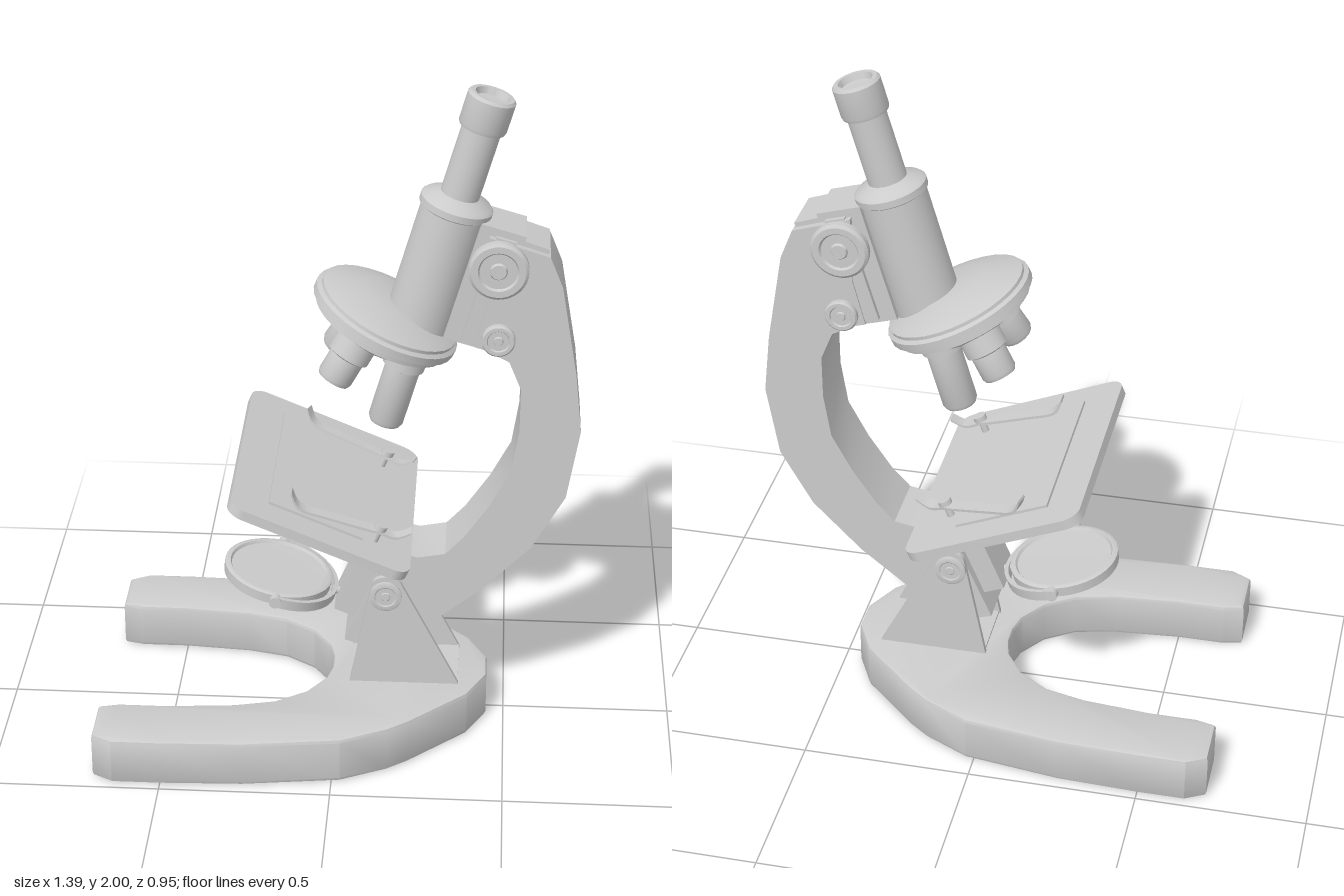
import * as THREE from 'three';
import { toCreasedNormals } from 'three/addons/utils/BufferGeometryUtils.js';

const grey = new THREE.MeshStandardMaterial({ color: 0xcccccc, side: THREE.DoubleSide });
const V = (p) => p.map(([x, y]) => new THREE.Vector2(x, y));
const deg = THREE.MathUtils.degToRad;

function add(parent, name, geo, x = 0, y = 0, z = 0) {
  const m = new THREE.Mesh(geo, grey);
  m.name = name;
  m.position.set(x, y, z);
  parent.add(m);
  return m;
}

// Turned part; profile runs from bottom to top
const turned = (pts, seg = 32) => toCreasedNormals(new THREE.LatheGeometry(V(pts), seg), 0.6);

// Extruded outline, centred on z = 0
function slab(shape, depth, bevel = 0) {
  const s = Array.isArray(shape) ? new THREE.Shape(V(shape)) : shape;
  const g = new THREE.ExtrudeGeometry(s, {
    depth: depth - 2 * bevel, curveSegments: 10, bevelEnabled: bevel > 0,
    bevelSize: bevel, bevelThickness: bevel, bevelOffset: -bevel, bevelSegments: 2,
  });
  g.translate(0, 0, bevel - depth / 2);
  return toCreasedNormals(g, 0.45);
}

function tilted(parent, name, x, y, angle) {
  const g = new THREE.Group();
  g.name = name;
  g.position.set(x, y, 0);
  g.rotation.z = -deg(angle);
  parent.add(g);
  return g;
}

function roundedRect(w, h, r) {
  const s = new THREE.Shape(), a = w / 2, b = h / 2;
  s.absarc(a - r, b - r, r, 0, Math.PI / 2);
  s.absarc(-a + r, b - r, r, Math.PI / 2, Math.PI);
  s.absarc(-a + r, -b + r, r, Math.PI, 1.5 * Math.PI);
  s.absarc(a - r, -b + r, r, 1.5 * Math.PI, 2 * Math.PI);
  return s;
}

// Stepped knob whose base sits on the side of the arm
function knobs(parent, name, x, y, z0, r, h) {
  for (const s of [1, -1]) {
    const g = turned([[r * 0.75, 0], [r, h * 0.25], [r, h * 0.8], [r * 0.9, h], [r * 0.68, h],
      [r * 0.62, h * 0.8], [r * 0.3, h * 0.8], [r * 0.25, h], [0, h]]);
    g.rotateX(s * Math.PI / 2);
    add(parent, name, g, x, y, s * z0);
  }
}

function buildStand(root) {
  // Horseshoe foot: half outline mirrored across z
  const half = [[0.447, 0.05], [0.39, 0.16], [0.22, 0.32], [0.16, 0.365], [0.025, 0.43], [-0.26, 0.468],
    [-0.5, 0.477], [-0.64, 0.477], [-0.7, 0.445], [-0.7, 0.29], [-0.64, 0.275], [-0.5, 0.275],
    [-0.3, 0.258], [-0.18, 0.23], [-0.09, 0.17], [-0.035, 0.09], [-0.02, 0.03]];
  const outline = [...half, ...half.map(([x, z]) => [x, -z]).reverse()];
  add(root, 'foot', slab(outline, 0.145, 0.012).rotateX(Math.PI / 2), 0, 0.0725, 0);

  // Pivot cheeks and floor plate
  const cheek = new THREE.Shape(V([[0.035, 0.14], [0.365, 0.14]]));
  cheek.lineTo(0.19, 0.48);
  cheek.quadraticCurveTo(0.18, 0.508, 0.142, 0.508);
  cheek.quadraticCurveTo(0.105, 0.505, 0.1, 0.48);
  for (const s of [1, -1]) add(root, 'pivotCheek', slab(cheek, 0.016), 0, 0, s * 0.103);
  add(root, 'pivotFloor', new THREE.BoxGeometry(0.32, 0.012, 0.2), 0.2, 0.147, 0);
  knobs(root, 'pivotScrew', 0.142, 0.445, 0.108, 0.048, 0.012);

  // Curved arm
  const arm = [[0.42, 1.595], [0.59, 1.54], [0.627, 1.45], [0.675, 1.18], [0.695, 1.0], [0.66, 0.785],
    [0.565, 0.615], [0.42, 0.465], [0.26, 0.335], [0.14, 0.24], [0.02, 0.28], [0.155, 0.59],
    [0.235, 0.57], [0.315, 0.585], [0.37, 0.645], [0.44, 0.75], [0.5, 0.865], [0.52, 1.0],
    [0.52, 1.13], [0.485, 1.215], [0.42, 1.25], [0.385, 1.26], [0.42, 1.4]];
  add(root, 'arm', slab(arm, 0.19));
  add(root, 'armCap', new THREE.BoxGeometry(0.17, 0.02, 0.15), 0.505, 1.573, 0).rotation.z = -deg(19);
  knobs(root, 'coarseKnob', 0.447, 1.505, 0.092, 0.085, 0.034);
  knobs(root, 'fineKnob', 0.452, 1.288, 0.092, 0.048, 0.024);
}

function buildOptics(root) {
  // Origin at the top of the eyepiece, y along the optical axis
  const tube = tilted(root, 'opticalTube', 0.418, 1.98, 16);
  add(tube, 'eyepiece', turned([[0.056, -0.1], [0.066, -0.1], [0.069, -0.09], [0.069, -0.008], [0.062, 0],
    [0.05, 0], [0.044, -0.018], [0, -0.022]]));
  add(tube, 'drawTube', new THREE.CylinderGeometry(0.056, 0.056, 0.25, 32, 1, true), 0, -0.22, 0);
  add(tube, 'bodyTube', turned([[0, -0.76], [0.097, -0.76], [0.097, -0.355], [0.105, -0.35], [0.105, -0.33],
    [0.097, -0.322], [0.056, -0.305]]));
  add(tube, 'rackBlock', new THREE.BoxGeometry(0.13, 0.365, 0.15), 0.142, -0.527, 0);
  add(tube, 'rackRail', new THREE.BoxGeometry(0.06, 0.33, 0.18), 0.155, -0.53, 0);

  // Revolving nosepiece with three objectives
  const nose = tilted(root, 'nosepiece', 0.132, 1.31, 25.6);
  add(nose, 'nosepieceDisc', turned([[0, -0.075], [0.13, -0.072], [0.19, -0.04], [0.205, -0.035],
    [0.205, -0.02], [0.222, -0.015], [0.222, 0.008], [0.21, 0.015], [0.21, 0.025], [0.195, 0.032],
    [0.1, 0.06], [0, 0.06]]));
  [0.27, 0.165, 0.165].forEach((len, i) => {
    const spin = new THREE.Group();
    spin.name = 'objectiveMount';
    spin.rotation.y = i * 2 * Math.PI / 3;
    nose.add(spin);
    const lens = turned([[0, -len + 0.01], [0.03, -len + 0.01], [0.034, -len], [0.046, -len],
      [0.052, -len + 0.012], [0.052, -0.085], [0.062, -0.08], [0.062, 0.03], [0, 0.03]], 24);
    add(spin, 'objective', lens, 0.1, -0.04, 0).rotation.z = deg(9.6);
  });
}

function buildStage(root) {
  // Origin at the plate centre, y normal to the plate
  const stage = tilted(root, 'stage', -0.04, 0.762, 22.6);
  add(stage, 'stagePlate', slab(roundedRect(0.55, 0.745, 0.05), 0.03).rotateX(Math.PI / 2));
  add(stage, 'slidePlate', new THREE.BoxGeometry(0.29, 0.01, 0.56), -0.02, 0.018, 0);

  // Spring clips with screws
  const curve = new THREE.SplineCurve(V([[-0.275, 0.04], [-0.235, 0.006], [-0.15, 0.012], [-0.03, 0.025],
    [0.0, 0.03], [0.05, 0.032], [0.085, 0.065]]));
  const top = curve.getPoints(24);
  const strip = new THREE.Shape([...top, ...top.map((p) => new THREE.Vector2(p.x, p.y + 0.008)).reverse()]);
  for (const [z, turn] of [[0.25, 0], [-0.205, -0.3]]) {
    const clip = new THREE.Group();
    clip.name = 'stageClip';
    clip.position.set(0.16, 0.018, z);
    clip.rotation.y = turn;
    stage.add(clip);
    add(clip, 'clipSpring', slab(strip, 0.038));
    add(clip, 'clipPost', new THREE.CylinderGeometry(0.011, 0.011, 0.13, 16), 0, -0.015, 0);
    add(clip, 'clipScrew', new THREE.CylinderGeometry(0.02, 0.02, 0.016, 16), 0, 0.046, 0);
  }

  // Condenser below the plate
  add(stage, 'condenser', turned([[0, -0.14], [0.06, -0.14], [0.065, -0.148], [0.085, -0.148], [0.09, -0.125],
    [0.112, -0.12], [0.115, -0.095], [0.128, -0.09], [0.132, -0.05], [0.12, -0.045], [0.12, -0.01]]), 0.035, 0, 0);

  // Post joining stage, arm and mirror
  add(stage, 'stagePost', new THREE.BoxGeometry(0.065, 0.335, 0.14), 0.208, -0.183, 0);
  const gusset = slab([[-0.16, -0.012], [0.16, -0.012], [0.08, -0.085], [-0.08, -0.085]], 0.07);
  add(stage, 'stageGusset', gusset.rotateY(Math.PI / 2), 0.205, 0, 0);
}

function buildMirror(root) {
  const holder = tilted(root, 'mirrorFork', -0.18, 0.452, 18);
  const fork = new THREE.Shape();
  fork.absarc(0, 0, 0.18, -Math.PI / 2, Math.PI / 2, false);
  fork.absarc(0, 0, 0.168, Math.PI / 2, -Math.PI / 2, true);
  add(holder, 'forkBand', slab(fork, 0.032).rotateX(Math.PI / 2));
  add(holder, 'forkStem', new THREE.CylinderGeometry(0.012, 0.012, 0.08, 12).rotateZ(Math.PI / 2), 0.205, 0, 0);
  for (const s of [1, -1]) {
    const pin = new THREE.CylinderGeometry(0.018, 0.018, 0.03, 16).rotateX(Math.PI / 2);
    add(holder, 'forkPin', pin, 0, 0, s * 0.17);
  }
  const dish = tilted(root, 'mirror', -0.185, 0.452, 11);
  add(dish, 'mirrorDisc', turned([[0, -0.01], [0.14, -0.01], [0.15, -0.018], [0.162, -0.016], [0.164, 0.014],
    [0.158, 0.018], [0.148, 0.018], [0.143, 0.01], [0, 0.008]], 40));
}

export function createModel() {
  const root = new THREE.Group();
  root.name = 'microscope';
  buildStand(root);
  buildOptics(root);
  buildStage(root);
  buildMirror(root);
  return root;
}
